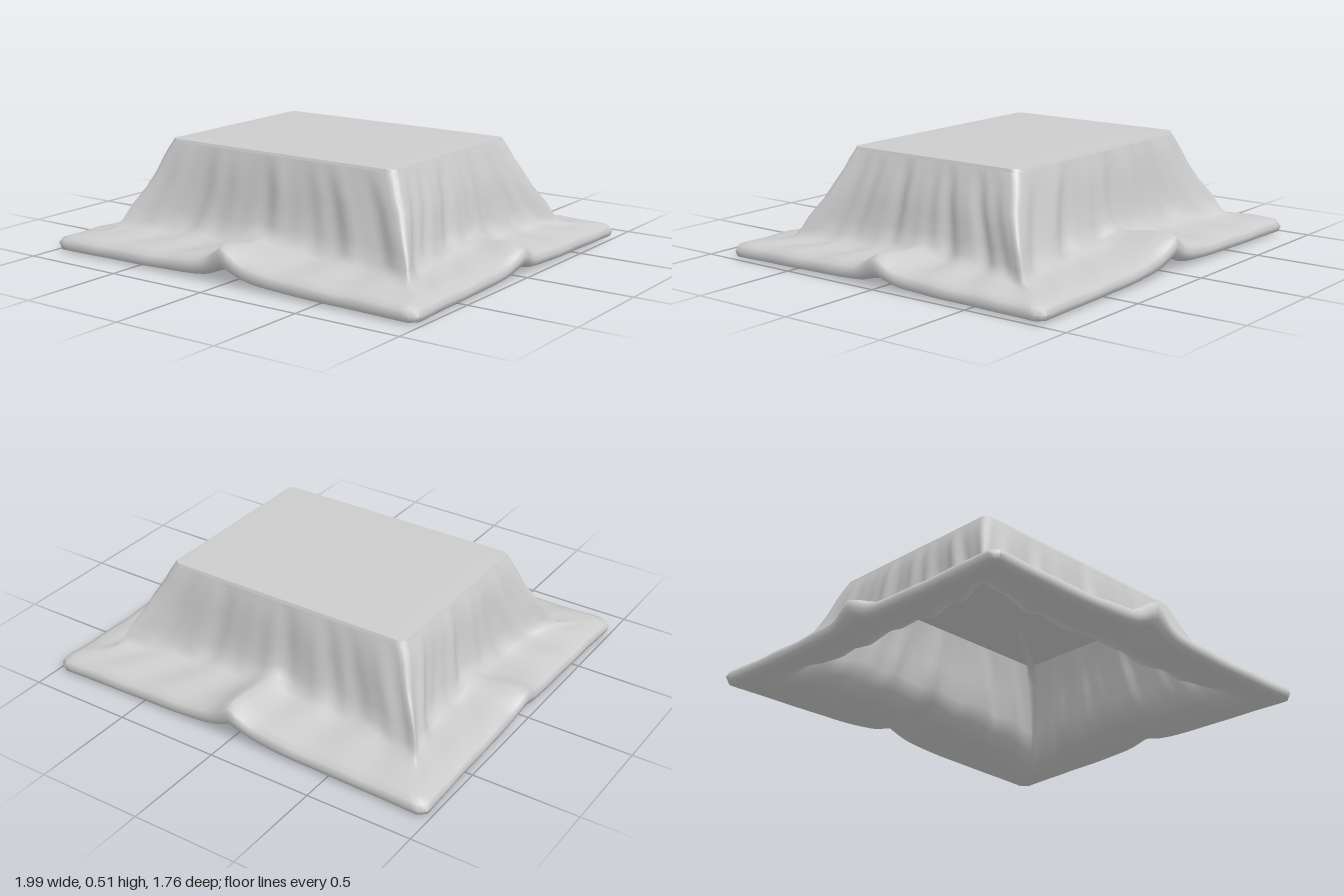
import * as THREE from 'three';
import { mergeVertices, toCreasedNormals } from 'three/addons/utils/BufferGeometryUtils.js';

const SEG = 56; // divisions along each side

// Cross-sections: half width, half depth, height, corner flare, raised-fold weight, wrinkle size
const TOP = [
  [0, 0, 0.515, 0, 0, 0],
  [0.3, 0.22, 0.515, 0, 0, 0],
  [0.58, 0.43, 0.515, 0, 0, 0],
  [0.615, 0.46, 0.513, 0, 0, 0],
  [0.62, 0.466, 0.5, 0, 0, 0],
];
const DRAPE = [
  [0.62, 0.466, 0.5, 0, 0, 0],
  [0.632, 0.474, 0.47, 0.005, 0, 0.2],
  [0.648, 0.486, 0.42, 0.012, 0, 0.6],
  [0.665, 0.496, 0.35, 0.03, 0, 0.9],
  [0.675, 0.505, 0.28, 0.055, 0, 1],
  [0.69, 0.52, 0.2, 0.09, 0.05, 1],
  [0.705, 0.54, 0.14, 0.1, 0.2, 1],
  [0.735, 0.575, 0.105, 0.09, 0.5, 0.9],
  [0.79, 0.65, 0.092, 0.06, 0.7, 0.8],
  [0.86, 0.74, 0.088, 0.03, 0.9, 0.7],
  [0.93, 0.815, 0.08, 0.018, 1, 0.5],
  [0.965, 0.852, 0.066, 0.015, 1, 0.3],
  [0.978, 0.863, 0.042, 0.015, 0.85, 0.2],
  [0.97, 0.855, 0.018, 0.015, 0.7, 0.15],
  [0.94, 0.825, 0.008, 0.015, 0.6, 0.15],
  [0.86, 0.735, 0.02, 0.03, 0.55, 0.4],
  [0.77, 0.62, 0.045, 0.06, 0.4, 0.7],
  [0.7, 0.53, 0.085, 0.08, 0.2, 1],
  [0.67, 0.5, 0.17, 0.075, 0, 1],
  [0.65, 0.48, 0.28, 0.045, 0, 1],
  [0.625, 0.465, 0.38, 0.015, 0, 0.6],
  [0.6, 0.445, 0.47, 0, 0, 0],
  [0, 0, 0.47, 0, 0, 0],
];

// Soft cloth folds along a side
function folds(s, side) {
  const p = side * 1.9;
  return 0.45 * Math.sin(s * 14 + p) + 0.35 * Math.sin(s * 23 + p * 2.3) + 0.25 * Math.sin(s * 37 + p * 0.7);
}

function ringPoint([hx, hz, y, flare, fold, wrinkle], side, s, row) {
  const alongX = side % 2 === 0;
  const along = alongX ? hx : hz, out = alongX ? hz : hx;
  const a = Math.abs(s);
  const round = 1 - 0.02 * Math.max(0, (a - 0.95) / 0.05) ** 2;
  const free = (1 - a ** 8) * wrinkle;
  const f = folds(s, side);
  // Raised pleat in the middle of every hem
  const d = s * along;
  const broad = Math.exp(-Math.abs(d) / 0.16), pleat = Math.exp(-((d / 0.075) ** 2));
  const lift = fold * ((alongX ? 0.07 : 0.035) * broad + 0.035 * pleat);
  const wallFold = y > 0.12 ? 0.014 : 0.005;
  const u = s * (along + flare) * round;
  const v = (out + flare * a ** 4) * round + free * wallFold * f + fold * 0.018 * pleat;
  const h = y + lift + free * (y < 0.3 ? 0.009 : 0.004) * Math.sin(s * 19 + side * 2 + row * 0.6)
    * (y < 0.03 ? 0.4 : 1);
  const p = [[u, v], [v, -u], [-u, -v], [-v, u]][side];
  return [p[0] - (y > 0.4 ? 0.008 : 0), h, p[1]];
}

// Joins consecutive four-sided loops into one surface
function clothSurface(rings, crease) {
  const pos = [], idx = [], n = SEG * 4;
  rings.forEach((ring, row) => {
    for (let side = 0; side < 4; side++)
      for (let i = 0; i < SEG; i++) pos.push(...ringPoint(ring, side, -1 + (2 * i) / SEG, row));
  });
  for (let r = 0; r < rings.length - 1; r++)
    for (let j = 0; j < n; j++) {
      const k = (j + 1) % n, a = r * n + j, b = r * n + k, c = a + n, d = b + n;
      if (rings[r + 1][0] > 0) idx.push(a, c, d);
      if (rings[r][0] > 0) idx.push(a, d, b);
    }
  const g = new THREE.BufferGeometry();
  g.setAttribute('position', new THREE.Float32BufferAttribute(pos, 3));
  g.setIndex(idx);
  return toCreasedNormals(mergeVertices(g, 1e-4), crease);
}

export function createModel() {
  const group = new THREE.Group();
  group.name = 'blanketTable';
  const grey = new THREE.MeshStandardMaterial({ color: 0xcccccc, side: THREE.DoubleSide });
  grey.name = 'light grey';

  // Flat table top
  const top = new THREE.Mesh(clothSurface(TOP, 0.9), grey);
  top.name = 'tableTop';

  // Hollow draped blanket with a thick hem
  const blanket = new THREE.Mesh(clothSurface(DRAPE, 1.1), grey);
  blanket.name = 'blanket';

  group.add(top, blanket);
  return group;
}
